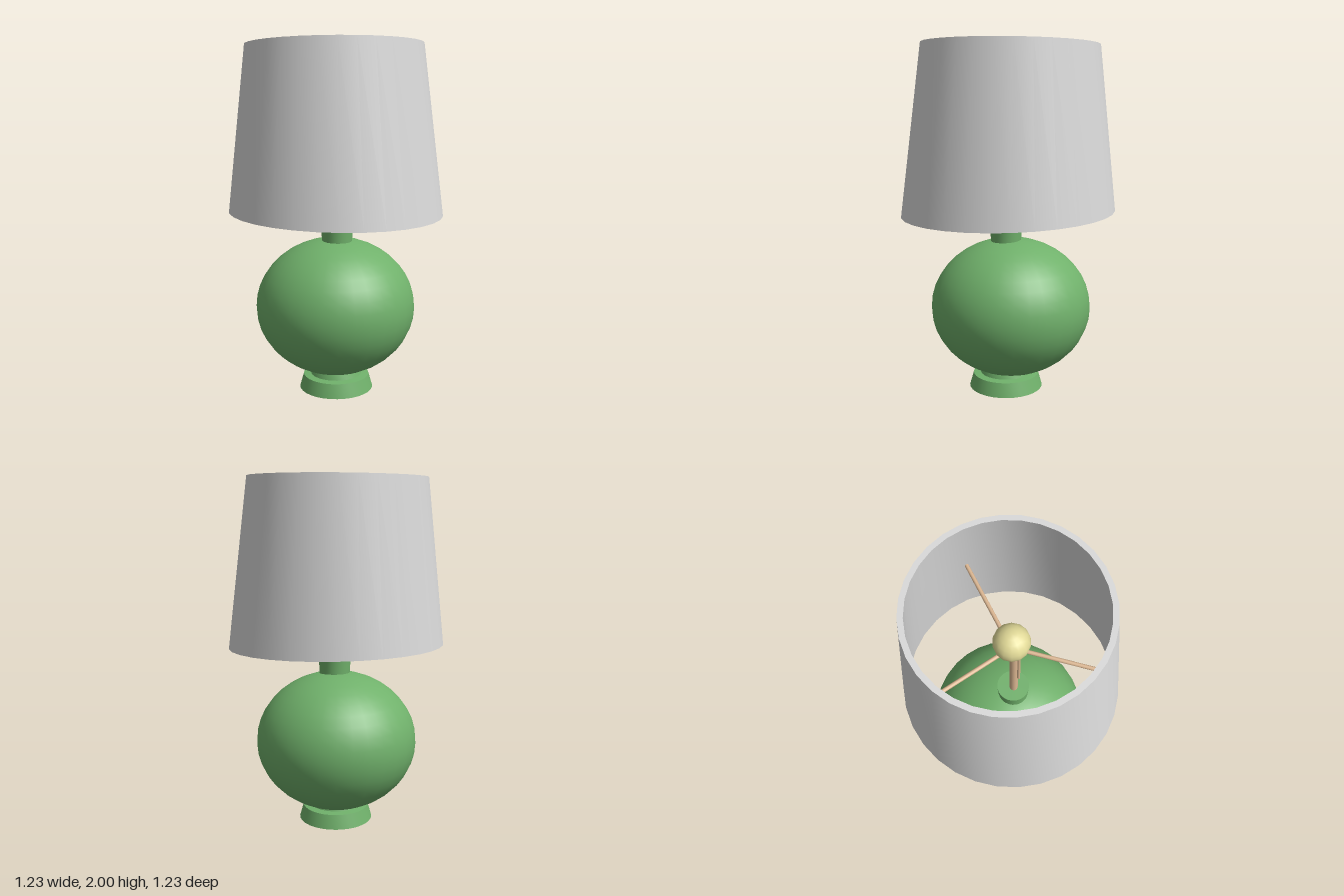
import * as THREE from 'three';
import { toCreasedNormals } from 'three/addons/utils/BufferGeometryUtils.js';

const material = (name, color) => {
  const m = new THREE.MeshStandardMaterial({ color });
  m.name = name;
  return m;
};

// Lathe from [radius, y] pairs with sharp edges kept
const lathe = (points, segments) =>
  new THREE.LatheGeometry(points.map(([r, y]) => new THREE.Vector2(r, y)), segments);

export function createModel() {
  const green = material('green glaze', 0x70b16b);
  const grey = material('shade grey', 0xdadada);
  const tan = material('tan metal', 0xdcb792);
  const yellow = material('bulb yellow', 0xe2da98);
  const lamp = new THREE.Group();
  lamp.name = 'tableLamp';

  const add = (name, geometry, mat, x = 0, y = 0, z = 0) => {
    const mesh = new THREE.Mesh(geometry, mat);
    mesh.name = name;
    mesh.position.set(x, y, z);
    lamp.add(mesh);
    return mesh;
  };

  // Rod between two points
  const rod = (name, from, to, radius) => {
    const dir = to.clone().sub(from);
    const mesh = add(name, new THREE.CylinderGeometry(radius, radius, dir.length(), 12), tan);
    mesh.position.copy(from).addScaledVector(dir, 0.5);
    mesh.quaternion.setFromUnitVectors(new THREE.Vector3(0, 1, 0), dir.normalize());
  };

  // Flared foot with a narrow collar under the body
  const foot = lathe([[0, 0], [0.215, 0], [0.192, 0.08], [0.15, 0.085], [0.14, 0.115], [0, 0.115]], 32);
  add('foot', toCreasedNormals(foot, 0.6), green, -0.005, 0, 0.01);

  // Squashed round body
  add('body', new THREE.SphereGeometry(1, 32, 20), green, 0.008, 0.49, -0.016).scale.set(0.465, 0.402, 0.465);

  // Neck, slightly wider at the top
  const neck = new THREE.CylinderGeometry(0.093, 0.086, 0.125, 24);
  add('neck', toCreasedNormals(neck, 0.6), green, 0, 0.9125, 0.012);

  // Stem, pull cord and bulb
  add('stem', new THREE.CylinderGeometry(0.024, 0.024, 0.63, 16), tan, -0.006, 1.265, 0.012);
  add('pullCord', new THREE.CylinderGeometry(0.009, 0.009, 0.35, 8), tan, -0.03, 1.335, 0.03);
  add('bulb', new THREE.SphereGeometry(0.098, 14, 10), yellow, -0.004, 1.63, 0);

  // Three spokes carrying the shade
  const hub = new THREE.Vector3(-0.006, 1.57, -0.004);
  [[0.52, -0.005], [-0.08, -0.52], [-0.345, 0.375]].forEach(([x, z]) =>
    rod('shadeSpoke', hub, new THREE.Vector3(x, 1.57, z), 0.011));

  // Tapered hollow shade whose rims are slightly tilted
  const shade = lathe([[0.613, 0], [0.502, 1], [0.473, 1], [0.584, 0], [0.613, 0]], 32);
  const p = shade.attributes.position;
  for (let i = 0; i < p.count; i++) {
    const t = p.getY(i);
    const z = p.getZ(i) - 0.017 * t;
    p.setZ(i, z);
    p.setY(i, t > 0.5 ? 1.993 + 0.015 * z : 1.053 - 0.036 * z);
  }
  add('shade', toCreasedNormals(shade, 0.6), grey);

  return lamp;
}
